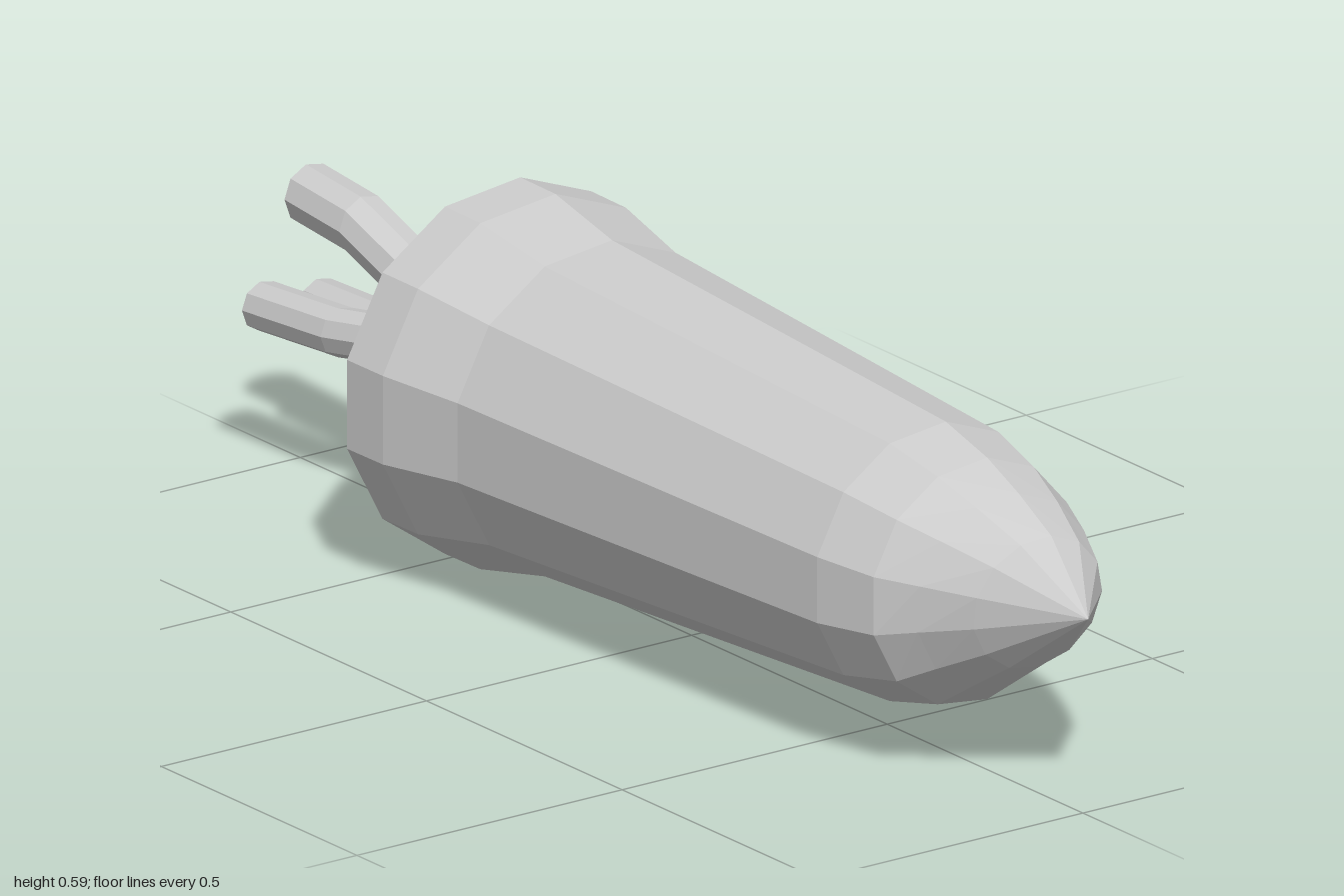
import * as THREE from 'three';

const material = new THREE.MeshStandardMaterial({ color: 0xcccccc, flatShading: true });
const CENTRE_Y = 0.297;

// Thirteen-sided shell along x with a flared rear collar and a slightly skewed pointed nose
function makeBody() {
  const profile = [
    [-0.54, 0], [-0.54, 0.235], [-0.48, 0.299], [-0.39, 0.298], [-0.24, 0.267],
    [0.62, 0.222], [0.73, 0.196], [0.80, 0.158], [0.88, 0.11], [1, 0],
  ].map(([x, r]) => new THREE.Vector2(r, x));
  const geo = new THREE.LatheGeometry(profile, 13, Math.PI);
  geo.rotateZ(-Math.PI / 2);
  const p = geo.attributes.position;
  for (let i = 0; i < p.count; i++) {
    const x = p.getX(i), y = p.getY(i), z = p.getZ(i);
    const t = Math.max(0, (x - 0.73) / 0.27);
    const lean = x > 0.75 ? 0.18 * (y - z) * t * 1.4 : 0;
    p.setXYZ(i, x + lean, y + CENTRE_Y + 0.013 * t, z + 0.005 - 0.015 * t);
  }
  geo.computeVertexNormals();
  const mesh = new THREE.Mesh(geo, material);
  mesh.name = 'body';
  return mesh;
}

// Cable: a capped cylinder whose rings are moved onto the path points
function makeCable(name, radius, path) {
  const n = path.length - 1;
  const geo = new THREE.CylinderGeometry(radius, radius, n, 9, n);
  geo.rotateZ(Math.PI / 2);
  const p = geo.attributes.position;
  for (let i = 0; i < p.count; i++) {
    const [x, y, z] = path[Math.round(p.getX(i) + n / 2)];
    p.setXYZ(i, x, y + p.getY(i), z + p.getZ(i));
  }
  geo.computeVertexNormals();
  const mesh = new THREE.Mesh(geo, material);
  mesh.name = name;
  return mesh;
}

export function createModel() {
  const model = new THREE.Group();
  model.name = 'cabledProbe';
  model.add(makeBody());

  // Three cables spreading out of the rear; points run from free end to body
  const cables = new THREE.Group();
  cables.name = 'cables';
  cables.add(
    makeCable('upperCable', 0.049, [
      [-0.97, 0.435, 0.003], [-0.83, 0.423, 0.003], [-0.66, 0.365, 0.003], [-0.5, 0.308, 0.003],
    ]),
    makeCable('frontCable', 0.04, [
      [-1, 0.26, 0.07], [-0.81, 0.27, 0.062], [-0.66, 0.288, 0.035], [-0.5, 0.302, 0.01],
    ]),
    makeCable('rearCable', 0.04, [
      [-1, 0.242, -0.037], [-0.81, 0.252, -0.031], [-0.66, 0.278, -0.016], [-0.5, 0.302, -0.002],
    ]),
  );
  model.add(cables);
  return model;
}
